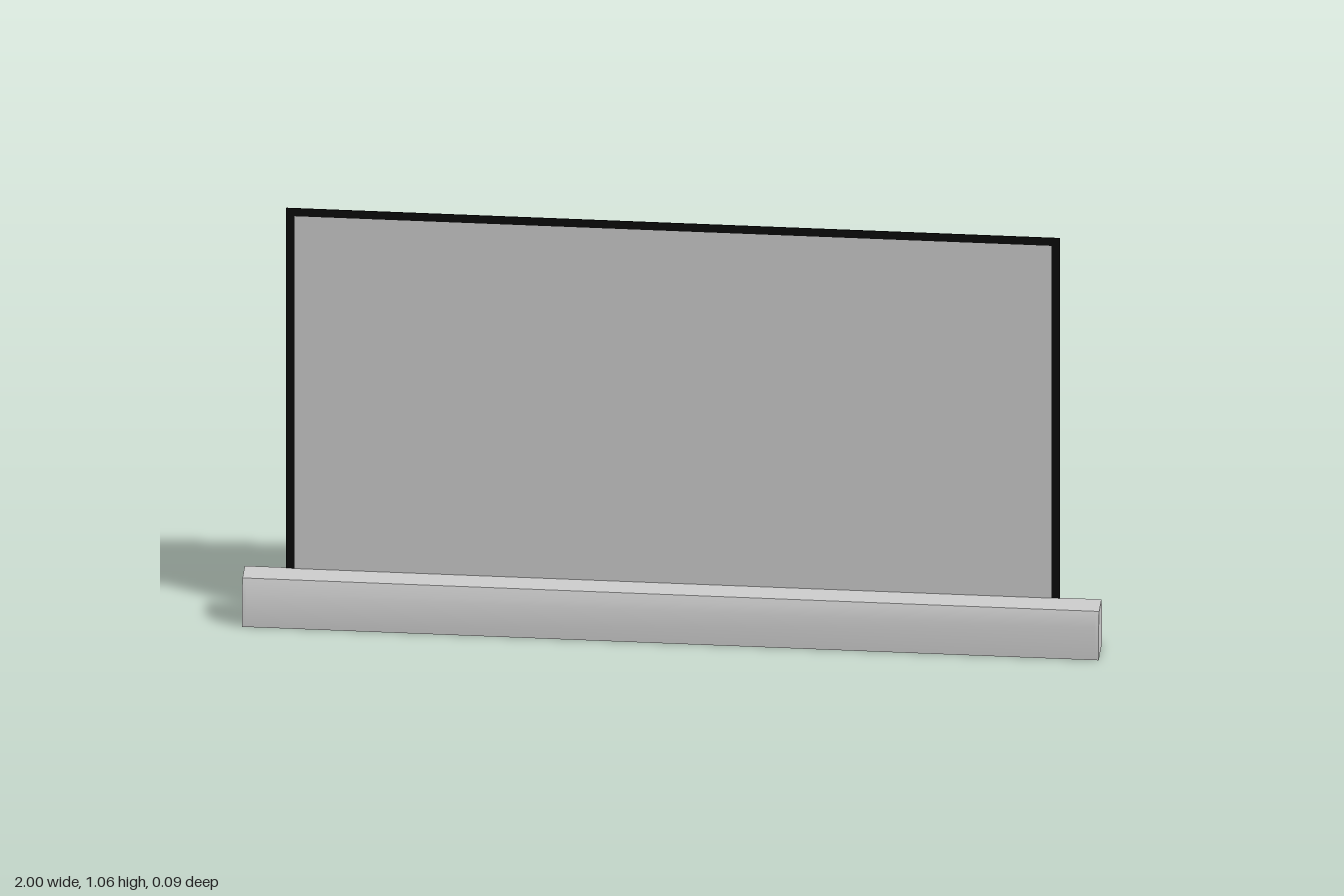
import * as THREE from 'three';
import { toCreasedNormals } from 'three/addons/utils/BufferGeometryUtils.js';

const grey = new THREE.MeshStandardMaterial({ color: 0xcccccc });
const black = new THREE.MeshStandardMaterial({ color: 0x0a0a0a });

// Half outline of the case: foot, shoulder, top edge (depth, height)
const halfProfile = (inset) => [
  [0.046 - inset, 0],
  [0.046 - inset, 0.085],
  [0.031 - inset * 0.6, 0.12 - inset],
];
const fullProfile = (inset) => {
  const half = halfProfile(inset);
  return [...half, ...half.map(([d, h]) => [-d, h]).reverse()];
};

// Extrudes a cross-section along x, centred on x = 0
function extrudeAlongX(points, length) {
  const shape = new THREE.Shape(points.map(([d, h]) => new THREE.Vector2(d, h)));
  const geo = new THREE.ExtrudeGeometry(shape, { depth: length, bevelEnabled: false });
  geo.translate(0, 0, -length / 2).rotateY(Math.PI / 2);
  return toCreasedNormals(geo, 0.7);
}

export function createModel() {
  const model = new THREE.Group();
  const add = (name, geo, mat, x = 0, y = 0, z = 0) => {
    const mesh = new THREE.Mesh(geo, mat);
    mesh.name = name;
    mesh.position.set(x, y, z);
    model.add(mesh);
    return mesh;
  };

  // Hollow case, open underneath
  const capWidth = 0.008;
  const shell = [...fullProfile(0), ...fullProfile(0.005).reverse()];
  add('caseShell', extrudeAlongX(shell, 2 - 2 * capWidth), grey);
  for (const side of [1, -1]) {
    add(side > 0 ? 'leftEndCap' : 'rightEndCap',
      extrudeAlongX(fullProfile(0), capWidth), grey, side * (1 - capWidth / 2));
  }

  // Roller with dark ends inside the case
  const rollerY = 0.044, rollerZ = -0.008;
  add('roller', new THREE.CylinderGeometry(0.02, 0.02, 1.74, 24).rotateZ(Math.PI / 2),
    grey, 0, rollerY, rollerZ);
  for (const side of [1, -1]) {
    add(side > 0 ? 'leftRollerEnd' : 'rightRollerEnd',
      new THREE.CylinderGeometry(0.022, 0.022, 0.035, 24).rotateZ(Math.PI / 2),
      black, side * 0.8875, rollerY, rollerZ);
  }

  // Thin raised screen: black sheet with a pale viewing surface on its front
  const bottom = 0.06, top = 1.06, border = 0.02, screenZ = -0.029;
  add('screenSheet', new THREE.BoxGeometry(1.806, top - bottom, 0.002),
    black, 0, (top + bottom) / 2, screenZ);
  const viewTop = top - border, viewBottom = 0.1;
  add('viewingSurface', new THREE.PlaneGeometry(1.766, viewTop - viewBottom),
    grey, 0, (viewTop + viewBottom) / 2, screenZ + 0.0018);

  return model;
}
